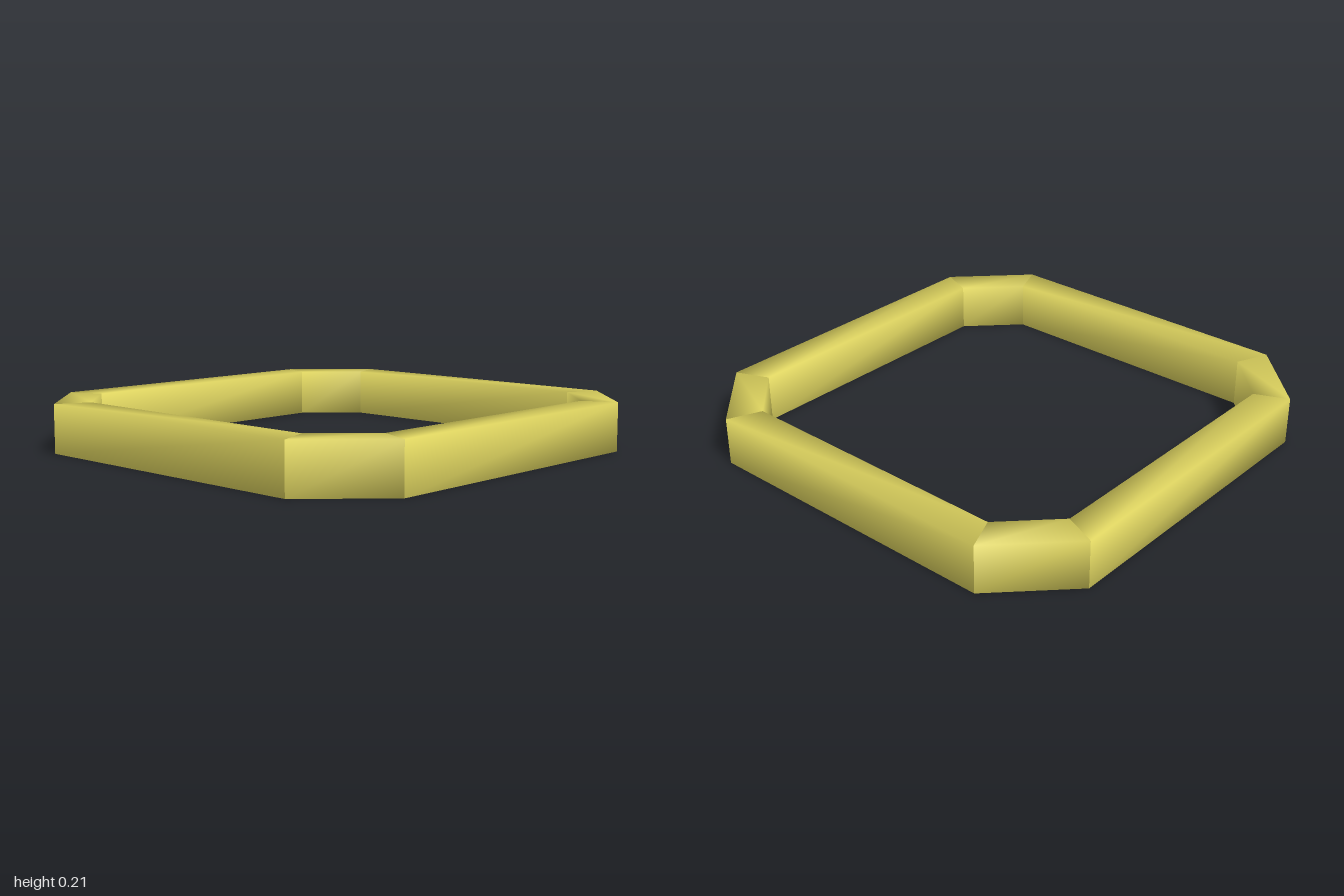
import * as THREE from 'three';

const HEIGHT = 0.213;

// Corners of a square with cut corners, running from the front left edge round to +x
function octagon(half, flat) {
  return [
    [-flat, half], [flat, half], [half, flat], [half, -flat],
    [flat, -half], [-flat, -half], [-half, -flat], [-half, flat],
  ];
}

// Mitred bar between two rectangular sections, softly shaded around its length
function barGeometry(start, end) {
  const index = [];
  for (let j = 0; j < 4; j++) {
    const k = (j + 1) % 4;
    index.push(j, 4 + j, 4 + k, j, 4 + k, k);
  }
  const geometry = new THREE.BufferGeometry();
  geometry.setAttribute('position', new THREE.Float32BufferAttribute([...start, ...end].flat(), 3));
  geometry.setIndex(index);
  geometry.computeVertexNormals();
  return geometry;
}

export function createModel() {
  const group = new THREE.Group();
  group.name = 'octagonalFrame';
  const material = new THREE.MeshStandardMaterial({ color: 0xddd35f });

  const outer = octagon(1, 0.7);
  const inner = octagon(0.853, 0.638);

  // Rectangular section at each mitre: outer bottom, outer top, inner top, inner bottom
  const sections = outer.map(([ox, oz], i) => {
    const [ix, iz] = inner[i];
    return [[ox, 0, oz], [ox, HEIGHT, oz], [ix, HEIGHT, iz], [ix, 0, iz]];
  });

  // Long side rails alternate with short corner rails
  sections.forEach((section, i) => {
    const bar = new THREE.Mesh(barGeometry(section, sections[(i + 1) % 8]), material);
    bar.name = i % 2 === 0 ? 'sideRail' : 'cornerRail';
    group.add(bar);
  });

  return group;
}
